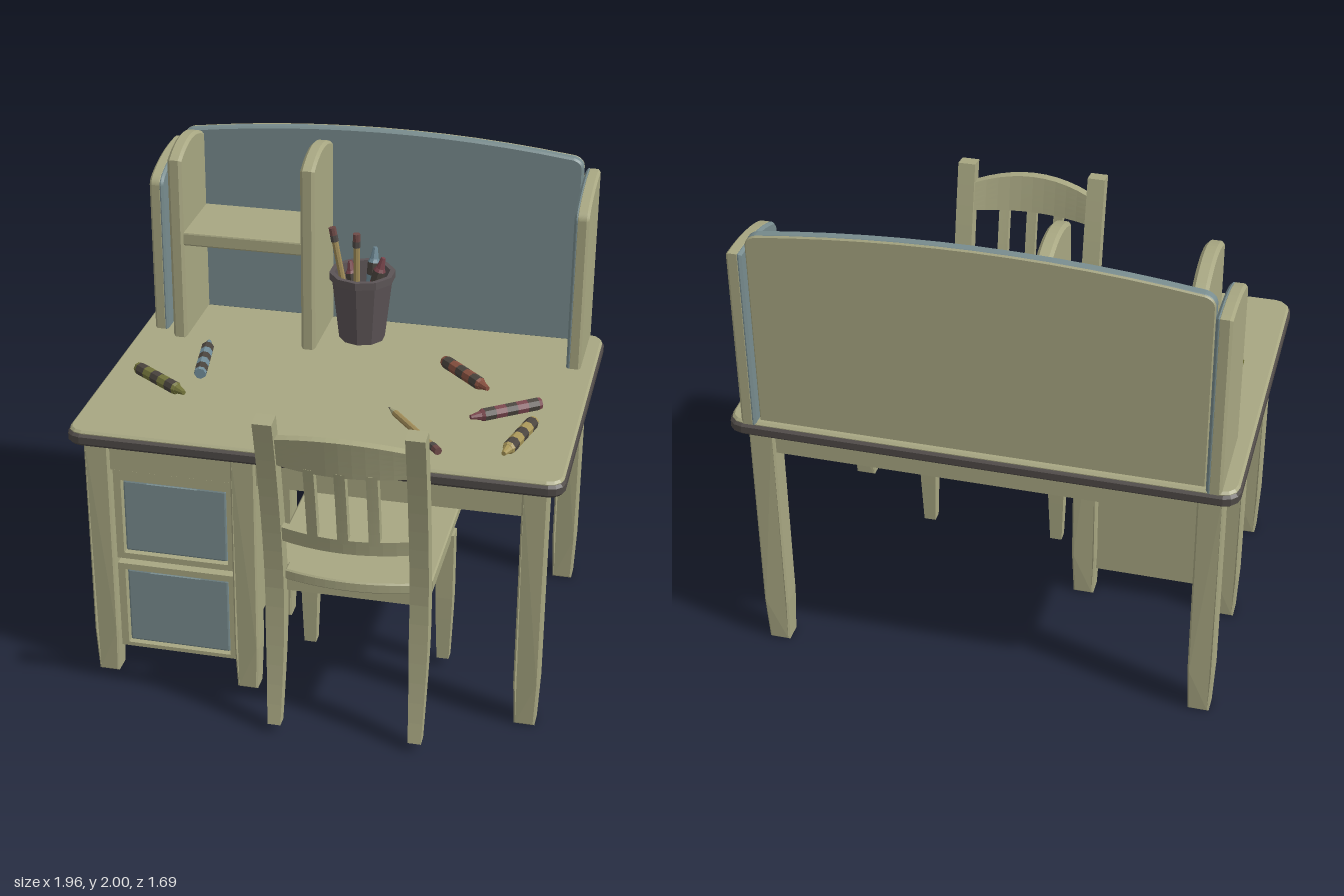
import * as THREE from 'three';
import { RoundedBoxGeometry } from 'three/addons/geometries/RoundedBoxGeometry.js';

const paint = (color, side = THREE.FrontSide) => new THREE.MeshStandardMaterial({ color, flatShading: true, side });
const WOOD = paint(0xa8a782), BLUE = paint(0x788c8e), DARK = paint(0x4f4a47);
const CUP = paint(0x5c5456, THREE.DoubleSide), BAND = paint(0x4a443e);

function add(parent, name, geometry, material) {
  const mesh = new THREE.Mesh(geometry, material);
  mesh.name = name;
  parent.add(mesh);
  return mesh;
}

// Box given by its limits, with an optional softened edge
function box(parent, name, [x0, x1], [y0, y1], [z0, z1], material, bevel = 0) {
  const size = [x1 - x0, y1 - y0, z1 - z0];
  const geo = bevel ? new RoundedBoxGeometry(...size, 1, bevel) : new THREE.BoxGeometry(...size);
  geo.translate((x0 + x1) / 2, (y0 + y1) / 2, (z0 + z1) / 2);
  return add(parent, name, geo, material);
}

// Flat plate of thickness t from z = 0, bevelled inside its outline
function plate(shape, t, b) {
  return new THREE.ExtrudeGeometry(shape, {
    depth: t - 2 * b, bevelEnabled: b > 0, bevelSize: b, bevelThickness: b,
    bevelOffset: -b, bevelSegments: 1, curveSegments: 12,
  }).translate(0, 0, b);
}

const polygon = (pts) => new THREE.Shape(pts.map(([x, y]) => new THREE.Vector2(x, y)));

function reshape(geo, rule) {
  const p = geo.attributes.position, v = new THREE.Vector3();
  for (let i = 0; i < p.count; i++) {
    rule(v.fromBufferAttribute(p, i));
    p.setXYZ(i, v.x, v.y, v.z);
  }
  geo.computeVertexNormals();
  return geo;
}

// Square leg that narrows toward the foot
function deskLeg(parent, x, z) {
  const w = 0.05, f = 0.042;
  const outline = polygon([[-f, 0.0], [f, 0.0], [w, 0.2], [w, 1.07], [-w, 1.07], [-w, 0.2]]);
  const geo = reshape(plate(outline, 2 * w, 0.007).translate(0, 0, -w), (v) => {
    v.z *= v.y < 0.2 ? 0.84 + 0.8 * v.y : 1;
  });
  add(parent, 'deskLeg', geo.translate(x, 0, z), WOOD);
}

// Desk top outline with rounded corners, drawn in (x, -z)
function topOutline(inset) {
  const X = 0.98 - inset, Y = 0.6755 - inset, r = 0.06, pts = [];
  [[1, 1], [-1, 1], [-1, -1], [1, -1]].forEach(([sx, sy], corner) => {
    for (let i = 0; i <= 3; i++) {
      const a = (corner + i / 3) * Math.PI / 2;
      pts.push([sx * (X - r) + r * Math.cos(a), 0.1675 + sy * (Y - r) + r * Math.sin(a)]);
    }
  });
  return polygon(pts);
}

function makeDesk() {
  const desk = new THREE.Group();
  desk.name = 'desk';
  // Dark edging slab under a thin wooden surface
  const slab = (name, inset, y, t, b, material) =>
    add(desk, name, plate(topOutline(inset), t, b).rotateX(-Math.PI / 2).translate(0, y, 0), material);
  slab('tabletopEdging', 0, 1.07, 0.056, 0.014, [WOOD, DARK]);
  slab('tabletop', 0.007, 1.115, 0.021, 0.009, WOOD);

  for (const [x, z] of [[0.868, 0.415], [0.868, -0.73], [-0.868, 0.415], [-0.868, -0.15],
    [-0.868, -0.73], [-0.273, 0.415], [-0.273, -0.15]]) deskLeg(desk, x, z);
  box(desk, 'apron', [-0.9, 0.9], [0.95, 1.075], [-0.762, 0.447], WOOD);

  // Drawer case with two drawers, closed at the back by two boards
  box(desk, 'drawerCase', [-0.825, -0.315], [0.115, 0.952], [-0.148, 0.385], WOOD);
  for (const [y0, y1, back1, p0, p1] of [[0.115, 0.51, 0.526, 0.138, 0.477], [0.535, 0.94, 0.952, 0.567, 0.89]]) {
    box(desk, 'caseBack', [-0.825, -0.315], [y0, back1], [-0.16, -0.14], WOOD);
    const frame = polygon([[-0.815, y0], [-0.327, y0], [-0.327, y1], [-0.815, y1]]);
    frame.holes.push(polygon([[-0.785, p0 - 0.006], [-0.785, p1 + 0.006], [-0.35, p1 + 0.006], [-0.35, p0 - 0.006]]));
    add(desk, 'drawerFrame', plate(frame, 0.045, 0).translate(0, 0, 0.385), WOOD);
    box(desk, 'drawerFront', [-0.78, -0.355], [p0, p1], [0.38, 0.418], BLUE, 0.008);
    // Curved finger pull
    const pull = new THREE.Shape();
    pull.moveTo(-0.68, p1 - 0.004);
    pull.quadraticCurveTo(-0.65, p1 - 0.044, -0.575, p1 - 0.044);
    pull.quadraticCurveTo(-0.5, p1 - 0.044, -0.47, p1 - 0.004);
    add(desk, 'drawerPull', plate(pull, 0.014, 0).translate(0, 0, 0.412), BLUE);
  }
  return desk;
}

function makeHutch() {
  const hutch = new THREE.Group();
  hutch.name = 'hutch';
  const base = 1.13;
  // Arched back, coloured inside and wooden outside
  const back = new THREE.Shape();
  back.moveTo(-0.852, base);
  back.lineTo(0.852, base);
  back.lineTo(0.852, 1.9);
  back.quadraticCurveTo(0.85, 1.935, 0.81, 1.945);
  back.quadraticCurveTo(0, 2.055, -0.81, 1.945);
  back.quadraticCurveTo(-0.85, 1.935, -0.852, 1.9);
  add(hutch, 'backPanel', plate(back, 0.044, 0.008).translate(0, 0, -0.809), BLUE);
  const outer = plate(back, 0.012, 0.005);
  add(hutch, 'backPanelOuter', outer.translate(0, 0, -0.814), WOOD);

  // Upright cut from a (z, y) outline, spanning x - t to x
  const upright = (name, shape, x, t, b, material) =>
    add(hutch, name, plate(shape, t, b).rotateY(-Math.PI / 2).translate(x, 0, 0), material);

  const wing = new THREE.Shape();
  wing.moveTo(-0.845, base);
  wing.lineTo(-0.48, base);
  wing.lineTo(-0.48, 1.79);
  wing.quadraticCurveTo(-0.485, 1.815, -0.52, 1.83);
  wing.quadraticCurveTo(-0.65, 1.885, -0.845, 1.88);
  for (const s of [1, -1]) {
    upright('wing', wing, s * 0.889 + 0.027, 0.054, 0.01, WOOD);
    upright('wingLining', wing, s * 0.867 + 0.011, 0.022, 0.009, BLUE);
  }

  const side = new THREE.Shape();
  side.moveTo(-0.77, base);
  side.lineTo(-0.415, base);
  side.lineTo(-0.415, 1.93);
  side.quadraticCurveTo(-0.59, 2.03, -0.77, 1.935);
  for (const x of [-0.755, -0.195]) upright('shelfSide', side, x, 0.06, 0.012, WOOD);
  box(hutch, 'shelf', [-0.765, -0.245], [1.553, 1.613], [-0.77, -0.425], WOOD, 0.008);
  return hutch;
}

// Lean of the chair back, as z at a given height
const lean = (y) => 0.655 + (y > 0.62 ? 0.145 * ((y - 0.62) / 0.81) ** 1.5 : 0.055 * ((0.62 - y) / 0.58) ** 2);
const MID = 0.193;

function makeChair() {
  const chair = new THREE.Group();
  chair.name = 'chair';
  // Board that follows the lean and bows backward between the posts
  const bent = (name, [x0, x1], [y0, y1], crown = 0) => {
    const geo = new THREE.BoxGeometry(x1 - x0, y1 - y0, 0.038, 10, 6, 1);
    geo.translate((x0 + x1) / 2 - MID, (y0 + y1) / 2, 0);
    reshape(geo, (v) => {
      const bow = 1 - (v.x / 0.25) ** 2;
      v.z += lean(v.y) + 0.045 * bow;
      v.y += crown * bow * (v.y - y0) / (y1 - y0);
    });
    add(chair, name, geo.translate(MID, 0, 0), WOOD);
  };
  for (const x of [MID - 0.283, MID + 0.283]) {
    const post = new THREE.BoxGeometry(0.074, 1.395, 0.068, 1, 16, 1).translate(0, 0.7375, 0);
    reshape(post, (v) => {
      const k = v.y < 0.45 ? 0.72 + 0.28 * (v.y - 0.04) / 0.41 : 1;
      const tilt = v.y > 1.4 ? -0.15 * v.z : 0;
      v.x *= k;
      v.z = v.z * k + lean(v.y);
      v.y += tilt;
    });
    add(chair, 'backPost', post.translate(x, 0, 0), WOOD);
    const leg = new THREE.BoxGeometry(0.07, 0.6, 0.066, 1, 6, 1).translate(0, 0.34, 0);
    reshape(leg, (v) => {
      const k = v.y < 0.3 ? 0.72 + (v.y - 0.04) : 1;
      v.x *= k;
      v.z *= k;
    });
    add(chair, 'frontLeg', leg.translate(x, 0, 0.1), WOOD);
  }
  // Seat notched around the posts, with a rounded rear edge, over a solid base
  const seat = new THREE.Shape();
  seat.moveTo(-0.128, 0.01);
  seat.lineTo(-0.128, -0.612);
  seat.lineTo(-0.055, -0.612);
  seat.lineTo(-0.055, -0.66);
  seat.quadraticCurveTo(MID, -0.73, 0.441, -0.66);
  seat.lineTo(0.441, -0.612);
  seat.lineTo(0.512, -0.612);
  seat.lineTo(0.512, 0.01);
  add(chair, 'seat', plate(seat, 0.046, 0.006).rotateX(-Math.PI / 2).translate(0, 0.676, 0), WOOD);
  box(chair, 'seatBase', [-0.112, 0.498], [0.617, 0.68], [0.07, 0.64], WOOD);
  bent('topRail', [-0.056, 0.442], [1.235, 1.355], 0.037);
  bent('lowerRail', [-0.056, 0.442], [0.873, 0.937]);
  for (const x of [0.074, MID, 0.312]) bent('backSlat', [x - 0.021, x + 0.021], [0.92, 1.25]);
  return chair;
}

// Round stick from a to b; rows are [start, end, radius, end radius, material]
function stick(parent, name, a, b, rows) {
  const from = new THREE.Vector3(...a), dir = new THREE.Vector3(...b).sub(from);
  const L = dir.length(), group = new THREE.Group();
  group.name = name;
  for (const [s, e, r0, r1, m] of rows) {
    add(group, name + 'Section', new THREE.CylinderGeometry(r1, r0, (e - s) * L, 8).translate(0, (s + e) / 2 * L, 0), m);
  }
  group.position.copy(from);
  group.quaternion.setFromUnitVectors(new THREE.Vector3(0, 1, 0), dir.normalize());
  parent.add(group);
}

function crayon(parent, a, b, color) {
  const m = paint(color), r = 0.027;
  const rows = [[0, 0.05, r * 0.85, r, m], [0.82, 0.86, r, r * 0.75, m], [0.86, 1, r * 0.7, r * 0.35, m]];
  for (let i = 0; i < 5; i++) rows.push([0.05 + i * 0.154, 0.204 + i * 0.154, r, r, i % 2 ? m : BAND]);
  stick(parent, 'crayon', a, b, rows);
}

// Runs from the eraser to the point
function pencil(parent, a, b) {
  const r = 0.014;
  stick(parent, 'pencil', a, b, [[0, 0.07, r * 1.15, r * 1.15, paint(0x6e4a47)], [0.07, 0.13, r * 1.2, r * 1.2, DARK],
    [0.13, 0.86, r, r, paint(0xa08c58)], [0.86, 0.96, r, r * 0.35, WOOD], [0.96, 1, r * 0.35, 0.001, DARK]]);
}

function makeSupplies() {
  const supplies = new THREE.Group();
  supplies.name = 'drawingSupplies';
  const y = 1.162;
  crayon(supplies, [-0.586, y, -0.04], [-0.635, y, -0.345], 0x6f8a96);
  crayon(supplies, [-0.85, y, -0.04], [-0.6, y, 0.14], 0x74753c);
  crayon(supplies, [0.365, y, -0.385], [0.58, y, -0.17], 0x86503f);
  crayon(supplies, [0.805, y, -0.09], [0.555, y, 0.092], 0x78454c);
  crayon(supplies, [0.8, y, 0.07], [0.728, y, 0.36], 0xa89658);
  pencil(supplies, [0.48, 1.151, 0.377], [0.22, 1.151, 0.058]);

  // Ten-sided cup, open at the top
  const profile = [[0, 1.136], [0.098, 1.136], [0.128, 1.4], [0.14, 1.405], [0.14, 1.437],
    [0.118, 1.437], [0.09, 1.155], [0, 1.155]].map(([r, h]) => new THREE.Vector2(r, h));
  add(supplies, 'cup', new THREE.LatheGeometry(profile, 10).translate(-0.032, 0, -0.6), CUP);
  pencil(supplies, [-0.16, 1.625, -0.59], [-0.07, 1.16, -0.59]);
  pencil(supplies, [-0.046, 1.625, -0.545], [-0.046, 1.16, -0.56]);
  crayon(supplies, [-0.01, 1.17, -0.62], [0.008, 1.52, -0.67], 0x6f8a96);
  crayon(supplies, [-0.03, 1.17, -0.6], [0.055, 1.5, -0.61], 0x78454c);
  crayon(supplies, [-0.05, 1.17, -0.62], [-0.1, 1.45, -0.665], 0x78454c);
  return supplies;
}

export function createModel() {
  const model = new THREE.Group();
  model.name = 'deskAndChair';
  model.add(makeDesk(), makeHutch(), makeChair(), makeSupplies());
  return model;
}
